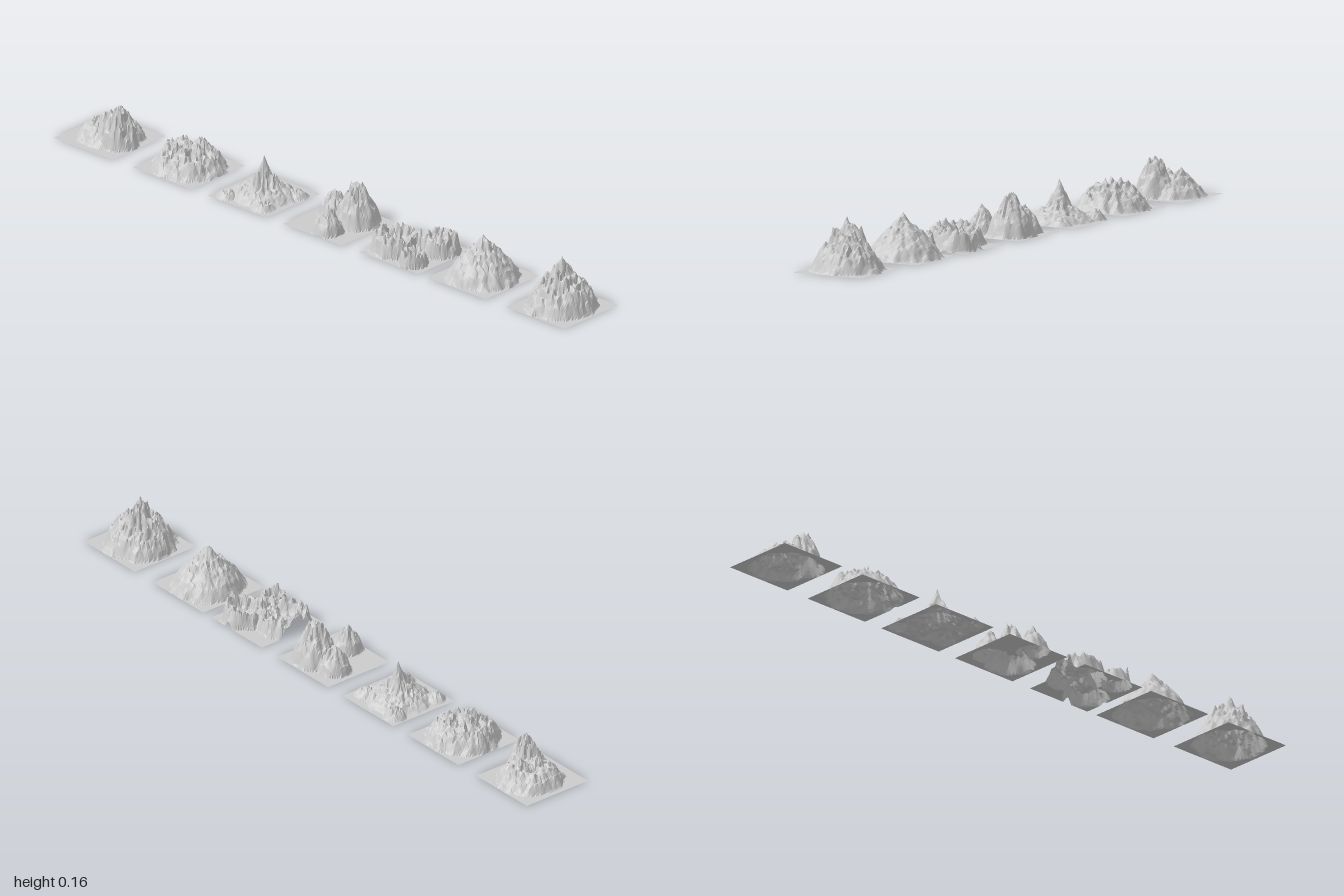
import * as THREE from 'three';

const SIZE = 0.23, SEGMENTS = 46;

// Slope profiles: height fraction at evenly spaced distances from summit to foot
const PROFILES = {
  cone: [1, 0.78, 0.62, 0.46, 0.28, 0],
  spire: [1, 0.55, 0.34, 0.22, 0.13, 0],
  steep: [1, 0.85, 0.7, 0.52, 0.35, 0],
  plateau: [1, 0.88, 0.8, 0.7, 0.45, 0],
  crater: [0.3, 0.35, 0.5, 0.85, 0.8, 0],
  low: [1, 0.9, 0.75, 0.55, 0.3, 0],
};

// Each tile: centre z, roughness and hills [x, z, radius, height, profile] relative to the tile
const TILES = [
  { name: 'tallPeakTile', z: 0.885, rough: 0.5, hills: [[0, 0, 0.108, 0.16, 'cone']] },
  { name: 'smoothPeakTile', z: 0.575, rough: 0.28, hills: [[0, 0, 0.11, 0.133, 'cone']] },
  {
    name: 'craterTile', z: 0.31, rough: 0.65, hills: [
      [-0.02, -0.055, 0.085, 0.06, 'crater'], [0.05, 0.045, 0.068, 0.058, 'crater'],
      [-0.07, 0.055, 0.045, 0.045, 'crater'], [0.01, 0.01, 0.035, 0.075, 'steep']],
  },
  {
    name: 'tripleSummitTile', z: 0.01, rough: 0.4, hills: [
      [0.04, 0.035, 0.07, 0.13, 'steep'], [-0.07, 0.02, 0.047, 0.085, 'steep'],
      [0.035, -0.05, 0.05, 0.083, 'steep']],
  },
  {
    name: 'spireTile', z: -0.285, rough: 0.6, hills: [
      [0, 0, 0.1, 0.125, 'spire'], [0.075, -0.075, 0.035, 0.035, 'low'],
      [-0.08, -0.07, 0.033, 0.025, 'low'], [0.055, 0.08, 0.035, 0.025, 'low'],
      [-0.075, 0.065, 0.035, 0.025, 'low']],
  },
  {
    name: 'plateauTile', z: -0.58, rough: 0.6, hills: [
      [0, 0, 0.112, 0.077, 'plateau'], [0, 0, 0.035, 0.09, 'steep'],
      [0.01, -0.075, 0.04, 0.066, 'steep']],
  },
  {
    name: 'cliffTile', z: -0.89, rough: 0.5, hills: [
      [0.01, 0, 0.1, 0.062, 'plateau'], [-0.017, 0.048, 0.062, 0.122, 'steep'],
      [0.045, 0.005, 0.05, 0.088, 'steep'], [-0.01, -0.01, 0.055, 0.08, 'steep']],
  },
];

// Repeatable value noise in 0..1
function hash(i, j) {
  const s = Math.sin(i * 127.1 + j * 311.7) * 43758.5453;
  return s - Math.floor(s);
}
function noise(x, z) {
  const i = Math.floor(x), j = Math.floor(z);
  const u = THREE.MathUtils.smoothstep(x - i, 0, 1), v = THREE.MathUtils.smoothstep(z - j, 0, 1);
  const { lerp } = THREE.MathUtils;
  return lerp(lerp(hash(i, j), hash(i + 1, j), u), lerp(hash(i, j + 1), hash(i + 1, j + 1), u), v);
}

function profileAt(points, d) {
  const t = Math.min(d, 0.9999) * (points.length - 1), i = Math.floor(t);
  return THREE.MathUtils.lerp(points[i], points[i + 1], t - i);
}

// Height of the eroded ground at a point of one tile
function heightAt(tile, x, z, seed) {
  const coarse = noise(x * 55 + seed, z * 55 + 9);
  const fine = noise(x * 130 + seed, z * 130 + 31);
  const crag = coarse * 0.55 + fine * 0.45 - 0.5;
  let h = 0;
  for (const [hx, hz, r, top, profile] of tile.hills) {
    const dx = x - hx, dz = z - hz;
    const d = Math.hypot(dx, dz) / r;
    const ragged = d * (1 + (coarse - 0.5) * 0.16);
    if (ragged >= 1) continue;
    // Gullies run down the slope and fade out at the summit
    const gully = noise(Math.atan2(dz, dx) * 5 + 40 + seed, d * 2.5) - 0.5;
    const fade = profile === 'crater' ? 1 : Math.min(1, d * 3.5);
    const carve = 1 + tile.rough * fade * (crag * 1.5 + gully * 0.6);
    h = Math.max(h, top * profileAt(PROFILES[profile], ragged) * carve);
  }
  return 0.006 + h;
}

// Open square sheet raised into a mountain
function terrainTile(tile, index) {
  const geometry = new THREE.PlaneGeometry(SIZE, SIZE, SEGMENTS, SEGMENTS).rotateX(-Math.PI / 2);
  const p = geometry.attributes.position;
  for (let i = 0; i < p.count; i++) {
    p.setY(i, heightAt(tile, p.getX(i), p.getZ(i), index * 17.3));
  }
  geometry.computeVertexNormals();
  const material = new THREE.MeshStandardMaterial({
    color: 0xcccccc, flatShading: true, side: THREE.DoubleSide,
  });
  const mesh = new THREE.Mesh(geometry, material);
  mesh.name = tile.name;
  mesh.position.z = tile.z;
  return mesh;
}

export function createModel() {
  const group = new THREE.Group();
  group.name = 'mountainTiles';
  TILES.forEach((tile, i) => group.add(terrainTile(tile, i)));
  return group;
}
